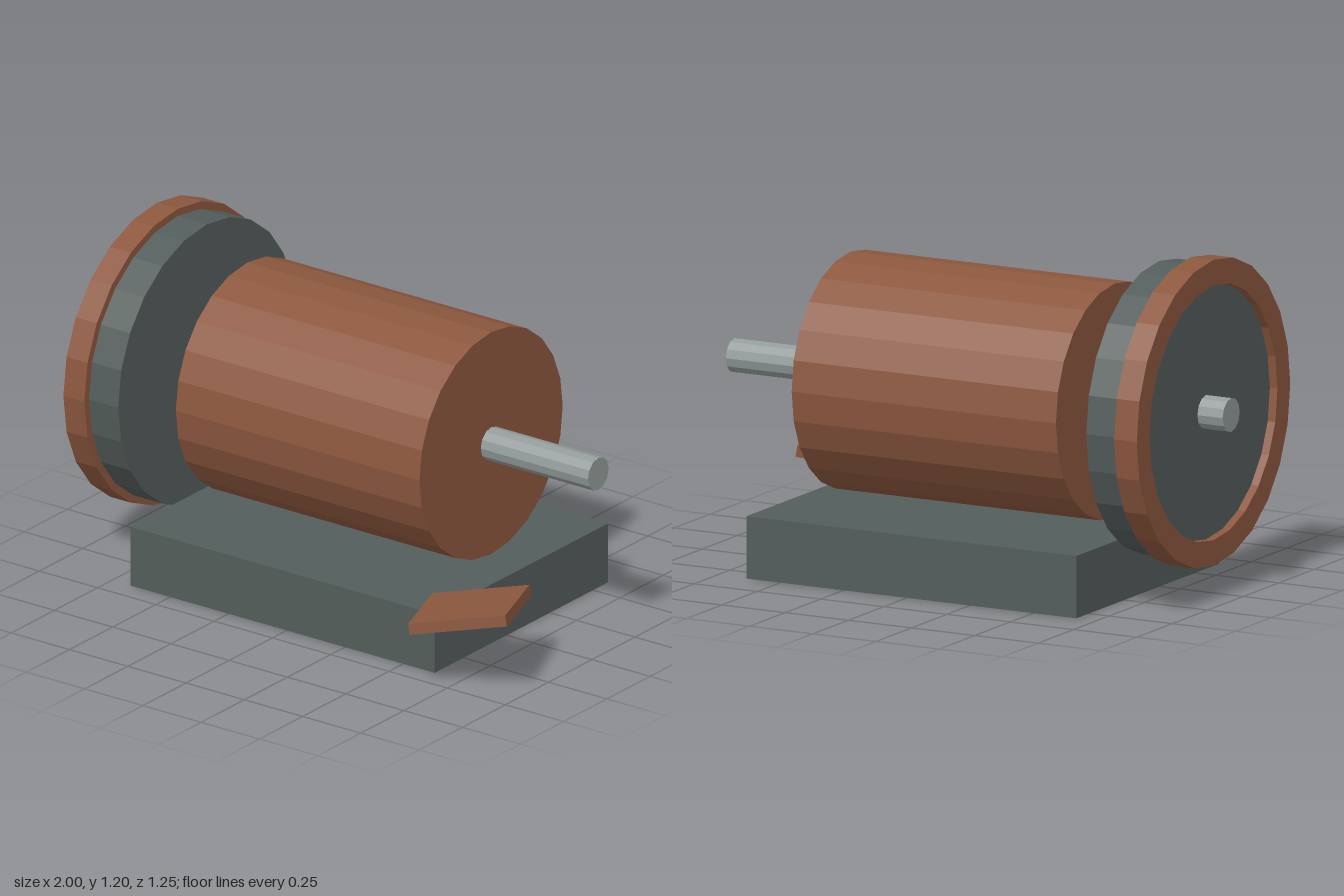
import * as THREE from 'three';

const flat = (name, color) => {
  const m = new THREE.MeshStandardMaterial({ color, flatShading: true });
  m.name = name;
  return m;
};

export function createModel() {
  const copper = flat('copper brown', 0x8c573e);
  const slate = flat('slate grey', 0x535d5b);
  const steel = flat('pale steel', 0x929c9a);

  const AXIS_Y = 0.657, AXIS_Z = -0.085;
  const group = new THREE.Group();
  group.name = 'rollerMachine';

  const add = (name, geometry, material, x, y, z) => {
    const mesh = new THREE.Mesh(geometry, material);
    mesh.name = name;
    mesh.position.set(x, y, z);
    group.add(mesh);
    return mesh;
  };

  // Round part lying along x, spanning x0 to x1 on the shared axis
  const addRound = (name, radius, x0, x1, sides, material) => {
    const geometry = new THREE.CylinderGeometry(radius, radius, x1 - x0, sides);
    geometry.rotateZ(Math.PI / 2);
    return add(name, geometry, material, (x0 + x1) / 2, AXIS_Y, AXIS_Z);
  };

  // Base block
  add('base', new THREE.BoxGeometry(1.305, 0.22, 1.005), slate, -0.0175, 0.11, -0.0855);

  // Axle, drum and wheel disc
  addRound('axle', 0.06, -1, 0.965, 12, steel);
  addRound('drum', 0.415, -0.54, 0.505, 24, copper);
  addRound('wheelDisc', 0.513, -0.9, -0.715, 24, slate);

  // Wheel rim: rectangular section turned around the axle, leaving a shallow recess
  const section = [[0.45, -0.045], [0.54, -0.045], [0.54, 0.045], [0.45, 0.045], [0.45, -0.045]]
    .map(([r, h]) => new THREE.Vector2(r, h));
  const rim = new THREE.LatheGeometry(section, 24);
  rim.rotateZ(Math.PI / 2);
  add('wheelRim', rim, copper, -0.885, AXIS_Y, AXIS_Z);

  // Foot pedal: turned about y, then tipped up towards its outer end
  const pedal = add('pedal', new THREE.BoxGeometry(0.35, 0.04, 0.35), copper, 0.769, 0.262, 0.395);
  pedal.rotation.set(0, 0.4, 0.2, 'ZYX');

  return group;
}
